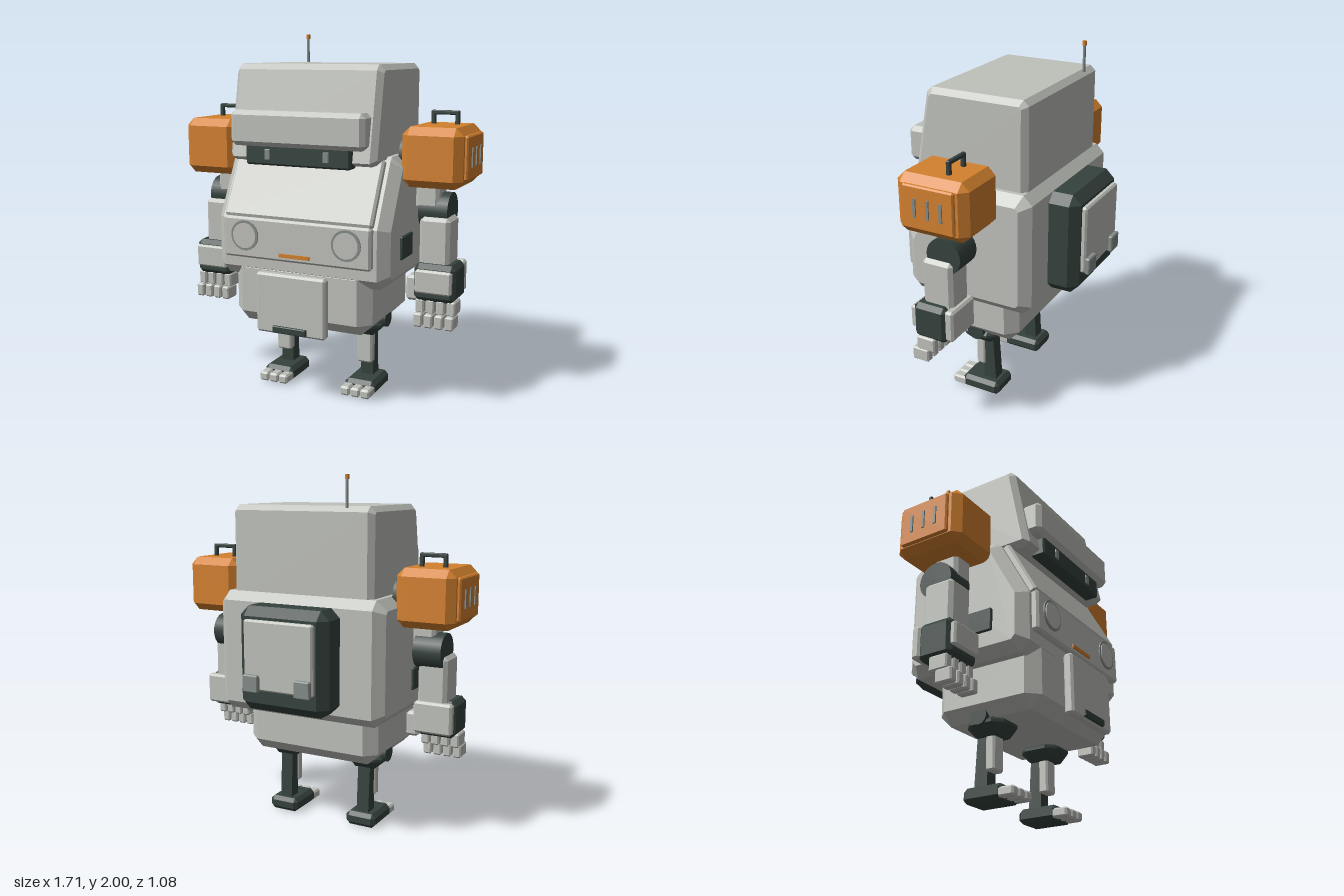
import * as THREE from 'three';
import { ConvexGeometry } from 'three/addons/geometries/ConvexGeometry.js';

const paint = (name, color) => {
  const m = new THREE.MeshStandardMaterial({ color });
  m.name = name;
  return m;
};

// Box with flat chamfers on every edge and corner
function chamferBox(w, h, d, c) {
  const pts = [];
  for (const x of [-1, 1]) for (const y of [-1, 1]) for (const z of [-1, 1]) {
    const [X, Y, Z] = [w / 2, h / 2, d / 2];
    pts.push(new THREE.Vector3(x * X, y * (Y - c), z * (Z - c)));
    pts.push(new THREE.Vector3(x * (X - c), y * Y, z * (Z - c)));
    pts.push(new THREE.Vector3(x * (X - c), y * (Y - c), z * Z));
  }
  return new ConvexGeometry(pts);
}

// Side profile of [z, y] points, extruded across x with bevelled flanks
function profileBlock(points, halfWidth, bevel) {
  const shape = new THREE.Shape(points.map(([z, y]) => new THREE.Vector2(z, y)));
  const g = new THREE.ExtrudeGeometry(shape, {
    depth: 2 * (halfWidth - bevel), bevelEnabled: true, bevelSegments: 1,
    bevelSize: bevel, bevelThickness: bevel, bevelOffset: -bevel,
  });
  g.translate(0, 0, -(halfWidth - bevel));
  return g.rotateY(-Math.PI / 2);
}

export function createModel() {
  const robot = new THREE.Group();
  robot.name = 'robot';
  const grey = paint('light grey', 0xbfc1bb);
  const dark = paint('dark green grey', 0x35423d);
  const orange = paint('orange', 0xd4812f);
  const steel = paint('steel grey', 0x858c88);

  const add = (name, geometry, material, x = 0, y = 0, z = 0, parent = robot) => {
    const m = new THREE.Mesh(geometry, material);
    m.name = name;
    m.position.set(x, y, z);
    parent.add(m);
    return m;
  };
  // Box given by its minimum and maximum on each axis
  const block = (name, mat, x, y, z, c = 0.01, parent = robot) => {
    const size = [x, y, z].map(([a, b]) => b - a);
    const mid = [x, y, z].map(([a, b]) => (a + b) / 2);
    const g = c > 0 ? chamferBox(...size, c) : new THREE.BoxGeometry(...size);
    return add(name, g, mat, ...mid, parent);
  };
  const rod = (name, mat, r, length, x, y, z, axis = 'y', parent = robot) => {
    const g = new THREE.CylinderGeometry(r, r, length, 24);
    if (axis === 'x') g.rotateZ(Math.PI / 2);
    if (axis === 'z') g.rotateX(Math.PI / 2);
    return add(name, g, mat, x, y, z, parent);
  };

  // Head, brow, visor and antenna
  add('head', profileBlock([[0.37, 1.325], [0.405, 1.345], [0.315, 1.81], [0.285, 1.84],
    [-0.245, 1.84], [-0.275, 1.81], [-0.275, 1.325]], 0.43, 0.03), grey);
  block('brow', grey, [-0.39, 0.39], [1.41, 1.6], [0.33, 0.46], 0.025);
  block('visor', dark, [-0.305, 0.305], [1.31, 1.42], [0.35, 0.435], 0.01);
  rod('antenna', steel, 0.008, 0.16, -0.275, 1.91, -0.26);
  rod('antennaTip', orange, 0.012, 0.025, -0.275, 1.9875, -0.26);

  // Torso with its slanted chest plate and lamp plate
  add('torso', profileBlock([[0.375, 0.685], [0.43, 0.74], [0.43, 1.01], [0.255, 1.34],
    [0.23, 1.365], [-0.275, 1.365], [-0.325, 1.315], [-0.325, 0.735], [-0.275, 0.685]], 0.51, 0.055), grey);
  const chest = add('chestPlate', chamferBox(0.87, 0.375, 0.05, 0.012), grey, 0, 1.185, 0.35);
  chest.rotation.x = -0.487;
  block('lampPlate', grey, [-0.435, 0.435], [0.8, 1.025], [0.4, 0.467], 0.012);
  block('grilleBar', orange, [-0.09, 0.09], [0.825, 0.845], [0.46, 0.475], 0);

  // Pelvis and hanging front flap
  block('pelvis', grey, [-0.41, 0.41], [0.42, 0.8], [-0.195, 0.43], 0.065);
  block('frontFlap', grey, [-0.205, 0.205], [0.415, 0.745], [0.47, 0.525], 0.012);
  block('flapSlot', dark, [-0.1, 0.1], [0.425, 0.462], [0.51, 0.54], 0.004);

  // Backpack
  block('backpack', dark, [-0.27, 0.27], [0.745, 1.315], [-0.49, -0.25], 0.05);
  block('backpackPanel', grey, [-0.21, 0.21], [0.87, 1.25], [-0.517, -0.47], 0.01);

  for (const s of [1, -1]) {
    const side = new THREE.Group();
    side.name = s > 0 ? 'leftSide' : 'rightSide';
    robot.add(side);
    const part = (name, mat, [a, b], y, z, c) =>
      block(name, mat, s > 0 ? [a, b] : [-b, -a], y, z, c, side);

    // Details on the head, torso and backpack
    part('eye', steel, [0.155, 0.188], [1.34, 1.397], [0.425, 0.442], 0.003);
    rod('lampRing', steel, 0.083, 0.02, s * 0.3, 0.925, 0.463, 'z', side);
    rod('lampLens', grey, 0.07, 0.02, s * 0.3, 0.925, 0.467, 'z', side);
    part('sideVent', dark, [0.49, 0.525], [0.82, 0.945], [0.08, 0.24], 0.005);
    part('backpackClip', steel, [0.11, 0.205], [0.862, 0.957], [-0.54, -0.51], 0.006);

    // Shoulder pod
    rod('shoulderJoint', dark, 0.12, 0.1, s * 0.51, 1.355, 0.03, 'x', side);
    part('shoulderPod', orange, [0.5, 0.83], [1.21, 1.525], [-0.165, 0.245], 0.042);
    part('podPlate', orange, [0.81, 0.848], [1.255, 1.485], [-0.108, 0.185], 0.008);
    for (let i = -1; i <= 1; i++) {
      const z = 0.037 + i * 0.075;
      part('podSlit', steel, [0.84, 0.855], [1.32, 1.42], [z - 0.008, z + 0.008], 0);
    }
    part('podHandle', dark, [0.585, 0.74], [1.575, 1.598], [-0.027, -0.004], 0.005);
    for (const x of [0.585, 0.717])
      part('podHandlePost', dark, [x, x + 0.023], [1.51, 1.59], [-0.027, -0.004], 0.004);

    // Arm
    part('upperArm', grey, [0.55, 0.68], [1.08, 1.25], [-0.02, 0.13], 0.018);
    rod('elbow', dark, 0.1, 0.16, s * 0.65, 1.07, 0.037, 'x', side);
    part('forearm', grey, [0.585, 0.752], [0.76, 1.045], [-0.02, 0.16], 0.02);

    // Wrist cuff and hand
    part('wristCuff', dark, [0.57, 0.8], [0.595, 0.8], [-0.005, 0.197], 0.025);
    part('cuffFrontPlate', grey, [0.585, 0.785], [0.645, 0.772], [0.18, 0.218], 0.01);
    part('cuffBackPlate', grey, [0.575, 0.795], [0.62, 0.795], [-0.047, 0.005], 0.012);
    part('thumb', grey, [0.5, 0.575], [0.57, 0.71], [0.03, 0.12], 0.015);
    for (let i = 0; i < 4; i++) {
      const x = 0.578 + i * 0.058;
      part('fingerBase', grey, [x, x + 0.048], [0.525, 0.605], [0.07, 0.18], 0.008);
      part('fingerTip', grey, [x, x + 0.048], [0.455, 0.53], [0.11, 0.21], 0.008);
    }

    // Leg
    part('hip', dark, [0.15, 0.37], [0.345, 0.46], [-0.04, 0.19], 0.05);
    rod('hipPivot', dark, 0.05, 0.1, s * 0.335, 0.435, 0.07, 'x', side);
    const leg = new THREE.BoxGeometry(0.075, 0.32, 0.08);
    const p = leg.attributes.position;
    for (let i = 0; i < p.count; i++) {
      if (p.getY(i) > 0) p.setZ(i, p.getZ(i) * 0.8 + 0.012);
    }
    leg.computeVertexNormals();
    add('leg', leg, dark, s * 0.258, 0.215, 0.028, side);
    part('shinGuard', grey, [0.213, 0.303], [0.165, 0.36], [0.058, 0.115], 0.01);

    // Foot
    part('foot', dark, [0.165, 0.35], [0, 0.082], [-0.05, 0.19], 0.022);
    for (let i = 0; i < 3; i++) {
      const x = 0.168 + i * 0.061;
      part('toe', grey, [x, x + 0.057], [0.008, 0.06], [0.16, 0.255], 0.01);
    }
  }
  return robot;
}
